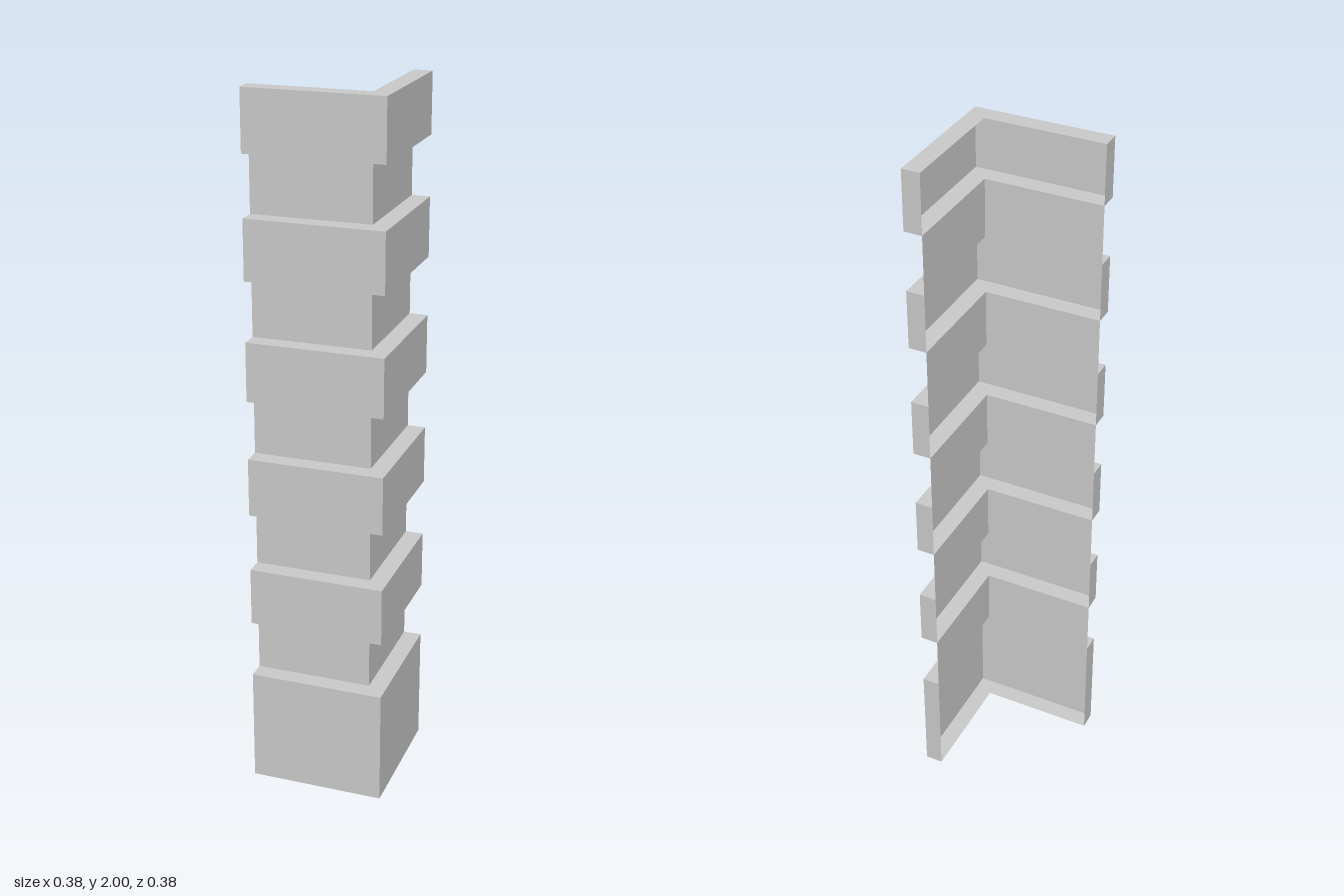
import * as THREE from 'three';

const OUT = 0.192;   // outer face of the raised blocks
const IN = 0.141;    // recessed face
const STEP = 1 / 6;  // height of one course

const material = new THREE.MeshStandardMaterial({
  color: 0xcccccc, flatShading: true, side: THREE.DoubleSide,
});

// Sweep a [distance, height] profile round the mitred corner; optionally close both ends.
function cornerSweep(name, profile, capped) {
  const positions = [];
  const quad = (a, b, c, d) => positions.push(...a, ...b, ...c, ...a, ...c, ...d);
  // Each profile point gives three stations: front wing end, corner, side wing end
  const rows = profile.map(([d, y]) => [[-OUT, y, d], [d, y, d], [d, y, -OUT]]);
  for (let i = 0; i < rows.length - 1; i++) {
    const a = rows[i], b = rows[i + 1];
    for (let s = 0; s < 2; s++) quad(a[s], a[s + 1], b[s + 1], b[s]);
  }
  if (capped) {
    quad(...rows.map((r) => r[0]));
    quad(...rows.map((r) => r[2]).reverse());
  }
  const geometry = new THREE.BufferGeometry();
  geometry.setAttribute('position', new THREE.Float32BufferAttribute(positions, 3));
  geometry.computeVertexNormals();
  const mesh = new THREE.Mesh(geometry, material);
  mesh.name = name;
  return mesh;
}

// Raised block: hollow and open on the inside of the corner
const block = (name, y0, y1) =>
  cornerSweep(name, [[IN, y0], [OUT, y0], [OUT, y1], [IN, y1]], true);

// Recessed course: a thin sheet
const recess = (name, y0, y1) => cornerSweep(name, [[IN, y0], [IN, y1]], false);

export function createModel() {
  const group = new THREE.Group();
  group.name = 'cornerQuoins';

  // Double-height base block
  group.add(block('baseBlock', 0, 2 * STEP));

  // Alternating recessed and raised courses
  for (let i = 0; i < 5; i++) {
    const y = (2 + 2 * i) * STEP;
    group.add(recess(`recessedCourse${i + 1}`, y, y + STEP));
    group.add(block(`raisedBlock${i + 1}`, y + STEP, y + 2 * STEP));
  }
  return group;
}
